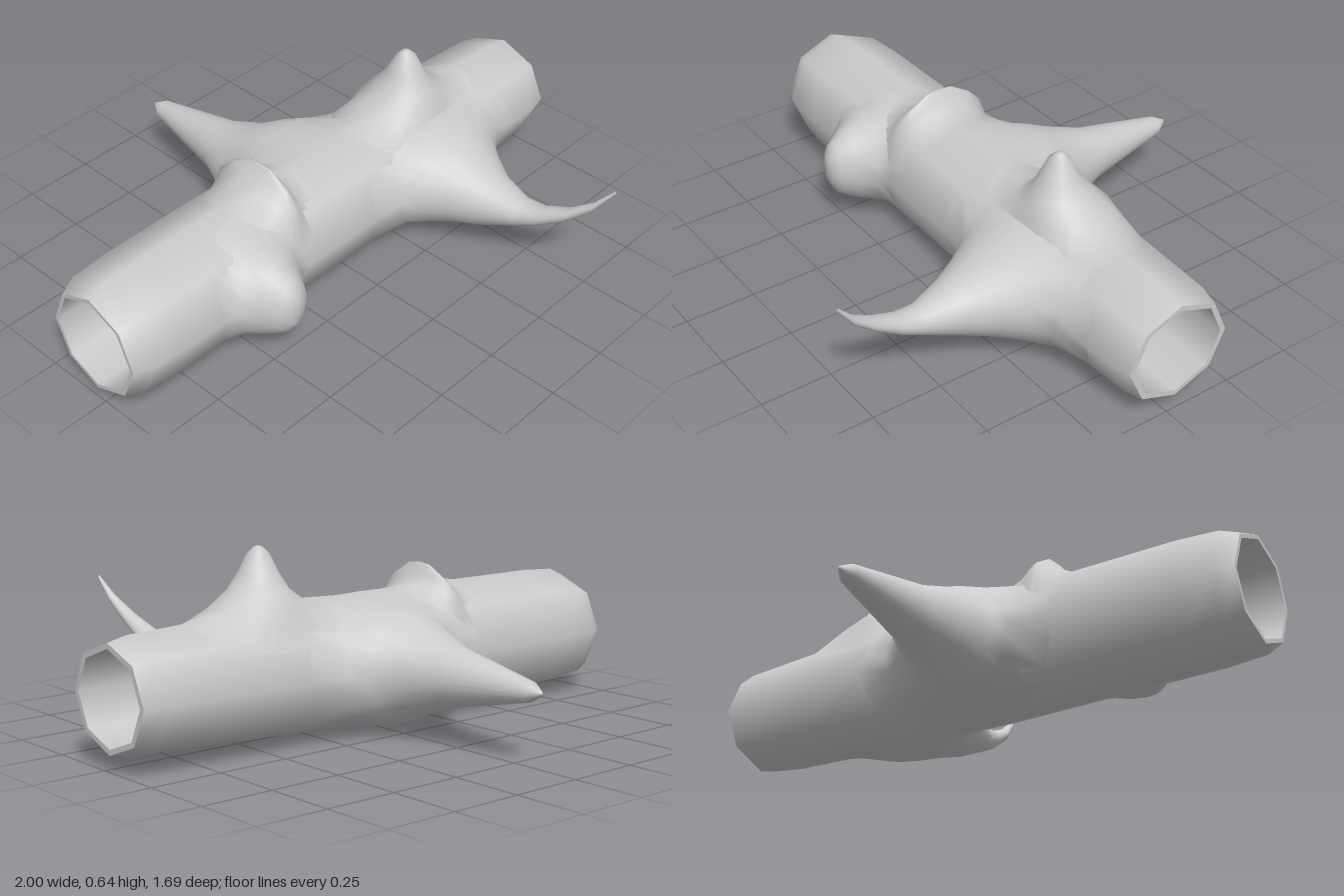
import * as THREE from 'three';

const CY = 0.225, CZ = -0.03; // axis of the trunk, running along x
const SIDES = 8;

// Trunk outline: [radius, x]
const OUTER = [
  [0.185, -1], [0.212, -0.94], [0.221, -0.8], [0.222, -0.55], [0.223, -0.25],
  [0.225, 0], [0.222, 0.3], [0.218, 0.6], [0.212, 0.8], [0.207, 0.93], [0.19, 1],
];
const INNER = [[0.17, 1], [0.172, 0.9], [0.172, 0], [0.17, -1]];

const material = new THREE.MeshStandardMaterial({ color: 0xcccccc, side: THREE.DoubleSide });

// The trunk gets a little flatter towards its left end
const squash = (x) => 1 - 0.09 * THREE.MathUtils.smoothstep(x, 0.1, 0.9);

// Lathe turned to lie along x
function shell(name, profile) {
  const g = new THREE.LatheGeometry(profile.map(([r, x]) => new THREE.Vector2(r, x)), SIDES);
  g.rotateZ(-Math.PI / 2);
  const p = g.attributes.position;
  for (let i = 0; i < p.count; i++) p.setY(i, p.getY(i) * squash(p.getX(i)));
  g.translate(0, CY, CZ);
  const mesh = new THREE.Mesh(g, material);
  mesh.name = name;
  return mesh;
}

// Distance from axis to the faceted trunk surface, before flattening
function trunkRadius(x, angle) {
  let i = 0;
  while (i < OUTER.length - 2 && OUTER[i + 1][1] < x) i++;
  const [r0, x0] = OUTER[i], [r1, x1] = OUTER[i + 1];
  const r = THREE.MathUtils.lerp(r0, r1, (x - x0) / (x1 - x0));
  const step = (2 * Math.PI) / SIDES;
  const local = THREE.MathUtils.euclideanModulo(angle, step) - step / 2;
  return (r * Math.cos(step / 2)) / Math.cos(local);
}

// Branch growing out at `angle` around the trunk (0 = front, PI/2 = top).
// foot: [x, half width, half angle] wrapped on the trunk.
// rings: [distance from axis, x, sideways offset, half width in x, half width sideways, sag of the sides]
function branch(name, angle, foot, rings) {
  const N = 24, pos = [], index = [];
  const s = Math.sin(angle), c = Math.cos(angle);
  const put = (out, x, side) => pos.push(x, CY + out * s + side * c, CZ + out * c - side * s);
  const turn = (j) => (j / N) * 2 * Math.PI;
  const footAngle = (j) => angle + THREE.MathUtils.degToRad(foot[2]) * Math.sin(turn(j));

  for (let j = 0; j < N; j++) {
    const x = foot[0] + foot[1] * Math.cos(turn(j)), a = footAngle(j);
    const r = trunkRadius(x, a);
    pos.push(x, CY + r * Math.sin(a) * squash(x), CZ + r * Math.cos(a));
  }
  for (const [out, x, side, wx, ws, sag = 0] of rings) {
    for (let j = 0; j < N; j++) {
      const t = turn(j);
      put(out - sag * Math.sin(t) ** 2, x + wx * Math.cos(t), side + ws * Math.sin(t));
    }
  }
  for (let i = 0; i < rings.length; i++) {
    for (let j = 0; j < N; j++) {
      const a = i * N + j, b = i * N + ((j + 1) % N);
      index.push(a, b, b + N, a, b + N, a + N);
    }
  }
  // Closed tip
  const last = rings[rings.length - 1], base = rings.length * N;
  put(last[0] + 0.005, last[1], last[2]);
  for (let j = 0; j < N; j++) index.push(base + j, base + ((j + 1) % N), base + N);

  const g = new THREE.BufferGeometry();
  g.setAttribute('position', new THREE.Float32BufferAttribute(pos, 3));
  g.setIndex(index);
  g.computeVertexNormals();
  // The foot shares the trunk's normals so the bark flows into the branch
  for (let j = 0; j < N; j++) {
    g.attributes.normal.setXYZ(j, 0, Math.sin(footAngle(j)), Math.cos(footAngle(j)));
  }
  const mesh = new THREE.Mesh(g, material);
  mesh.name = name;
  return mesh;
}

export function createModel() {
  const model = new THREE.Group();
  model.name = 'hollowLog';

  // Hollow trunk with a rim at each end
  model.add(
    shell('trunkBark', OUTER),
    shell('trunkHollow', INNER),
    shell('leftRim', [OUTER[OUTER.length - 1], INNER[0]]),
    shell('rightRim', [INNER[INNER.length - 1], OUTER[0]]),
  );

  // Curved front branch
  model.add(branch('frontBranch', 0, [0.43, 0.38, 88], [
    [0.23, 0.43, 0, 0.26, 0.195, 0.055], [0.275, 0.425, -0.002, 0.2, 0.165, 0.015],
    [0.34, 0.42, -0.005, 0.15, 0.13],
    [0.43, 0.415, -0.01, 0.1, 0.095], [0.55, 0.42, 0, 0.058, 0.05],
    [0.63, 0.425, 0.025, 0.043, 0.037], [0.73, 0.437, 0.08, 0.028, 0.026],
    [0.81, 0.458, 0.145, 0.016, 0.018], [0.868, 0.479, 0.22, 0.004, 0.008],
  ]));

  // Straight back branch
  model.add(branch('backBranch', Math.PI, [0.01, 0.38, 88], [
    [0.235, 0.01, 0, 0.25, 0.2, 0.055], [0.27, 0, 0, 0.2, 0.175, 0.01],
    [0.32, -0.015, 0, 0.155, 0.145],
    [0.45, -0.015, 0, 0.095, 0.1], [0.77, -0.015, -0.005, 0.036, 0.033],
    [0.815, -0.015, -0.007, 0.006, 0.006],
  ]));

  // Stub on top
  model.add(branch('topStub', Math.PI / 2, [0.43, 0.3, 62], [
    [0.225, 0.43, 0, 0.17, 0.15, 0.01], [0.275, 0.425, -0.01, 0.1, 0.1],
    [0.33, 0.42, -0.015, 0.065, 0.065], [0.39, 0.42, -0.015, 0.037, 0.035],
    [0.41, 0.42, -0.015, 0.015, 0.014],
  ]));

  // Thin ridge across the top
  model.add(branch('topRidge', Math.PI / 2, [-0.29, 0.15, 80], [
    [0.235, -0.28, 0, 0.055, 0.175, 0.035], [0.265, -0.272, 0, 0.025, 0.125, 0.015],
    [0.295, -0.27, 0, 0.007, 0.05],
  ]));

  // Rounded knot on the front
  model.add(branch('frontKnot', 0, [-0.46, 0.19, 78], [
    [0.225, -0.46, 0, 0.14, 0.165, 0.03], [0.28, -0.457, 0, 0.095, 0.135, 0.015],
    [0.33, -0.455, 0, 0.06, 0.1, 0.01], [0.346, -0.455, 0, 0.03, 0.055],
  ]));

  return model;
}
